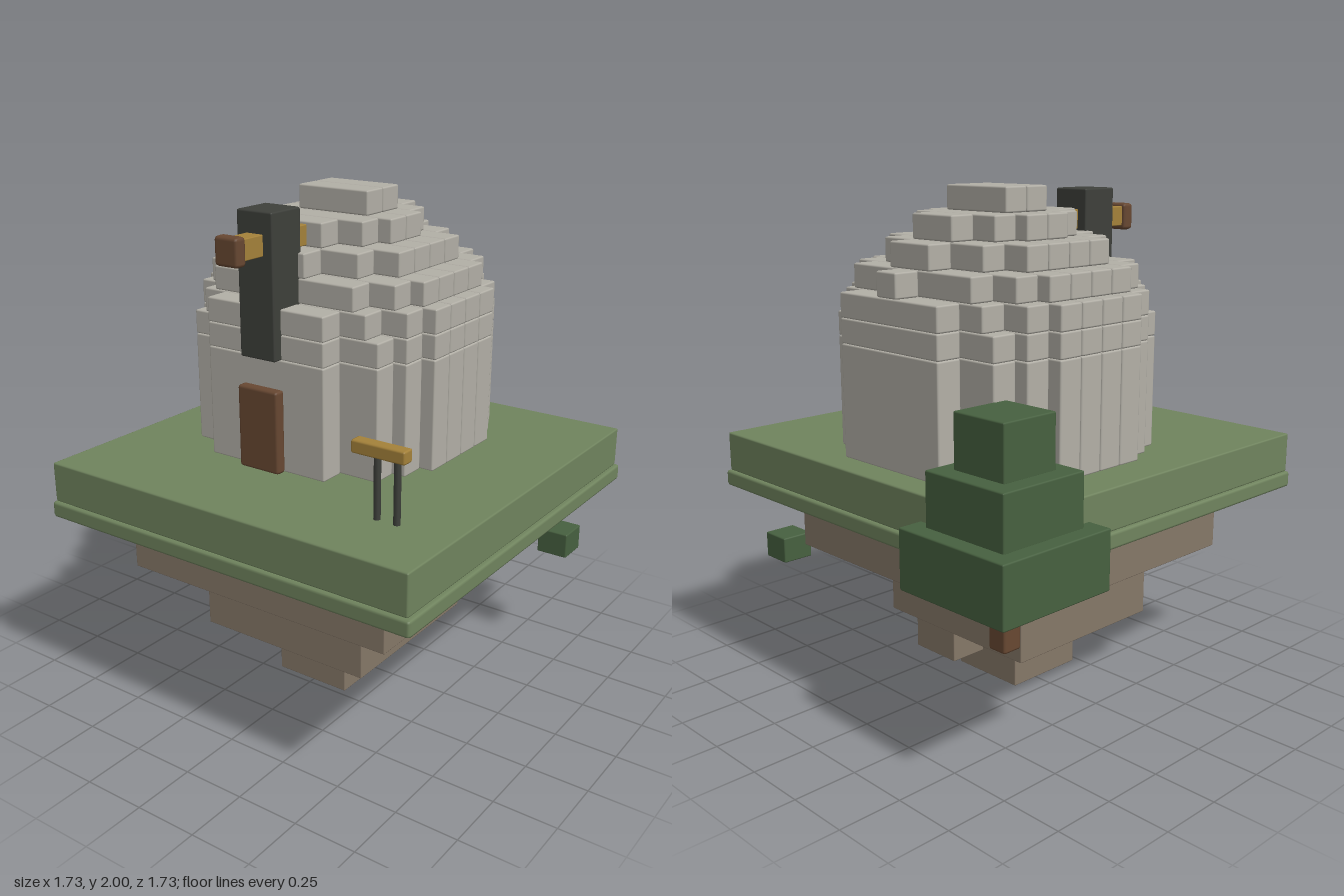
import * as THREE from 'three';
import { RoundedBoxGeometry } from 'three/addons/geometries/RoundedBoxGeometry.js';

const material = (name, color) => {
  const m = new THREE.MeshStandardMaterial({ color });
  m.name = name;
  return m;
};

export function createModel() {
  const model = new THREE.Group();
  model.name = 'floatingObservatory';

  const stone = material('stone', 0xb3b0a7);
  const grass = material('grass', 0x70845e);
  const dirt = material('dirt', 0x867868);
  const leaves = material('leaves', 0x476140);
  const wood = material('wood', 0x684832);
  const brass = material('brass', 0xa5823a);
  const charcoal = material('charcoal', 0x3e403b);

  // Bevelled block given by its [min, max] extents
  const block = (name, mat, [x0, x1], [y0, y1], [z0, z1], parent = model, bevel = 0.007) => {
    const geo = new RoundedBoxGeometry(x1 - x0, y1 - y0, z1 - z0, 1, bevel);
    const mesh = new THREE.Mesh(geo, mat);
    mesh.name = name;
    mesh.position.set((x0 + x1) / 2, (y0 + y1) / 2, (z0 + z1) / 2);
    parent.add(mesh);
    return mesh;
  };
  const group = (name) => {
    const g = new THREE.Group();
    g.name = name;
    model.add(g);
    return g;
  };

  // Floating island: grass on stepped earth
  const island = group('island');
  block('grassTop', grass, [-0.77, 0.845], [0.84, 1], [-0.77, 0.85], island);
  block('grassRim', grass, [-0.78, 0.86], [0.775, 0.84], [-0.782, 0.862], island, 0.012);
  block('earthUpper', dirt, [-0.58, 0.615], [0.525, 0.776], [-0.577, 0.63], island, 0.004);
  block('earthMiddle', dirt, [-0.39, 0.375], [0.235, 0.526], [-0.31, 0.42], island, 0.004);
  block('earthTip', dirt, [-0.17, 0.16], [0, 0.237], [-0.122, 0.225], island, 0.004);
  block('earthLump', dirt, [0.02, 0.25], [0.097, 0.237], [-0.283, -0.055], island, 0.004);

  // Dome: circular layers made of parallel stone strips
  const dome = group('dome');
  const unit = 0.1075, cx = -0.07, cz = -0.125;
  const heights = [1, 1.435, 1.53, 1.625, 1.718, 1.812, 1.906, 2];
  const radii = [5.15, 5.15, 5.05, 4.53, 3.65, 2.7, 1.5];
  radii.forEach((r, layer) => {
    for (let d = -4.5; d <= 4.5; d++) {
      if (Math.abs(d) >= r) continue;
      const half = Math.round(2 * Math.sqrt(r * r - d * d)) / 2 * unit;
      if (half === 0) continue;
      const z = cz + d * unit;
      block('domeStone', stone, [cx - half, cx + half], [heights[layer], heights[layer + 1]],
        [z - unit / 2 + 0.001, z + unit / 2 - 0.001], dome);
    }
  });

  // Door
  block('door', wood, [-0.165, 0.02], [1, 1.325], [0.41, 0.457], model, 0.012);

  // Telescope in its dark slot
  const telescope = group('telescope');
  block('slot', charcoal, [-0.15, 0.01], [1.435, 1.975], [0.285, 0.45], telescope);
  block('tube', brass, [-0.108, -0.032], [1.817, 1.895], [0.15, 0.56], telescope, 0.004);
  block('lensHood', wood, [-0.123, -0.018], [1.8, 1.907], [0.555, 0.607], telescope, 0.014);

  // Signboard on two posts
  const sign = group('sign');
  block('signBoard', brass, [0.47, 0.685], [1.248, 1.297], [0.58, 0.631], sign, 0.008);
  for (const x of [0.537, 0.618]) {
    const post = new THREE.Mesh(new THREE.CylinderGeometry(0.013, 0.013, 0.245, 8), charcoal);
    post.name = 'signPost';
    post.position.set(x, 1.122, 0.566);
    sign.add(post);
  }

  // Stepped tree hanging over the back corner
  const tree = group('tree');
  block('trunk', wood, [-0.65, -0.57], [0.465, 0.69], [-0.65, -0.57], tree, 0.01);
  [[0.865, 0.36, 0.68, 0.905], [0.8, 0.425, 0.9, 1.105], [0.73, 0.49, 1.1, 1.305]].forEach(([a, b, y0, y1]) =>
    block('foliage', leaves, [-a, -b], [y0, y1], [-a, -b], tree, 0.006));

  // Loose floating bush
  block('floatingBush', leaves, [0.62, 0.752], [0.465, 0.571], [-0.675, -0.543], model, 0.006);

  return model;
}
